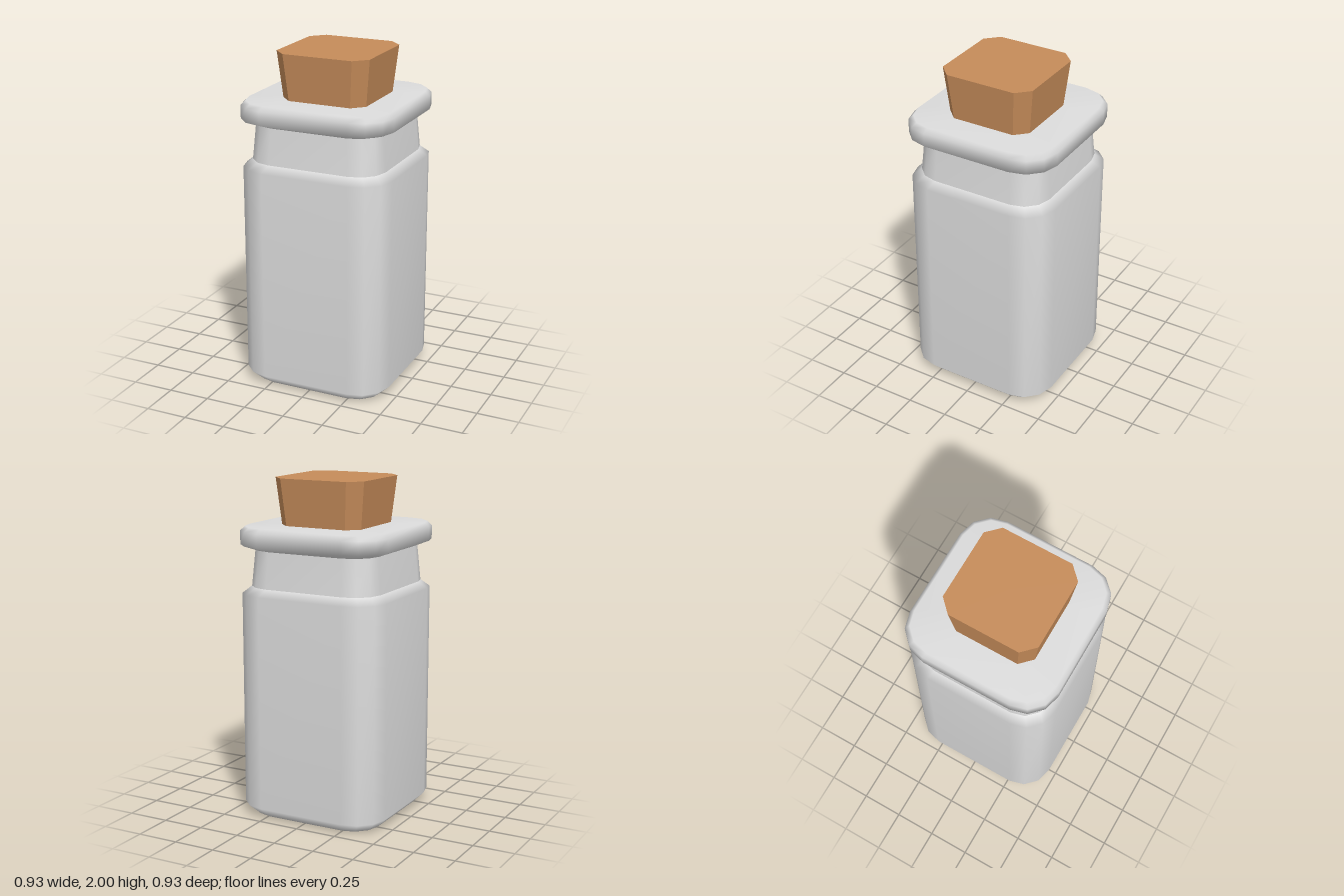
import * as THREE from 'three';

// Ring of a square with rounded corners: half = half width, r = corner radius
function ring(half, r, segs) {
  const pts = [], c = half - r;
  for (let q = 0; q < 4; q++) {
    const sx = q === 0 || q === 3 ? 1 : -1, sz = q < 2 ? 1 : -1;
    for (let k = 0; k <= segs; k++) {
      const a = (q + k / segs) * Math.PI / 2;
      pts.push([sx * c + r * Math.cos(a), sz * c + r * Math.sin(a)]);
    }
  }
  return pts;
}

// Skin a list of [half, y, radius] sections, optionally closing the ends
function loft(sections, segs, capBottom, capTop) {
  const n = 4 * (segs + 1), pos = [], idx = [];
  for (const [half, y, r] of sections) {
    for (const [x, z] of ring(half, r, segs)) pos.push(x, y, z);
  }
  const last = (sections.length - 1) * n;
  for (let i = 0; i < last; i += n) {
    for (let j = 0; j < n; j++) {
      const k = (j + 1) % n;
      idx.push(i + j, i + n + j, i + k, i + k, i + n + j, i + n + k);
    }
  }
  if (capBottom) {
    const m = pos.length / 3;
    pos.push(0, sections[0][1], 0);
    for (let j = 0; j < n; j++) idx.push(m, j, (j + 1) % n);
  }
  if (capTop) {
    const m = pos.length / 3;
    pos.push(0, sections[sections.length - 1][1], 0);
    for (let j = 0; j < n; j++) idx.push(m, last + (j + 1) % n, last + j);
  }
  const g = new THREE.BufferGeometry();
  g.setAttribute('position', new THREE.Float32BufferAttribute(pos, 3));
  g.setIndex(idx);
  g.computeVertexNormals();
  return g;
}

export function createModel() {
  const group = new THREE.Group();
  const glass = new THREE.MeshStandardMaterial({ color: 0xdcdcdc });
  glass.name = 'pale glass';
  const corkMat = new THREE.MeshStandardMaterial({ color: 0xc68c5a });
  corkMat.name = 'cork brown';
  const add = (name, geometry, material) => {
    const mesh = new THREE.Mesh(geometry, material);
    mesh.name = name;
    group.add(mesh);
    return mesh;
  };

  // Bottle body with bevelled base and shoulder
  add('body', loft([
    [0.40, 0, 0.16], [0.458, 0.06, 0.19], [0.458, 1.335, 0.19], [0.408, 1.378, 0.165],
  ], 3, true, false), glass);

  // Slightly tapered neck
  add('neck', loft([[0.41, 1.375, 0.165], [0.39, 1.6, 0.155]], 3, false, false), glass);

  // Flared lip, closed under the stopper
  add('lip', loft([
    [0.385, 1.588, 0.155], [0.465, 1.62, 0.195], [0.465, 1.7, 0.195], [0.44, 1.726, 0.18],
  ], 3, false, true), glass);

  // Faceted stopper, set a little off centre
  const corkGeo = loft([[0.254, 1.68, 0.067], [0.287, 2, 0.075]], 1, true, true).toNonIndexed();
  corkGeo.computeVertexNormals();
  const cork = add('stopper', corkGeo, corkMat);
  cork.position.set(0.008, 0, 0.008);

  return group;
}
